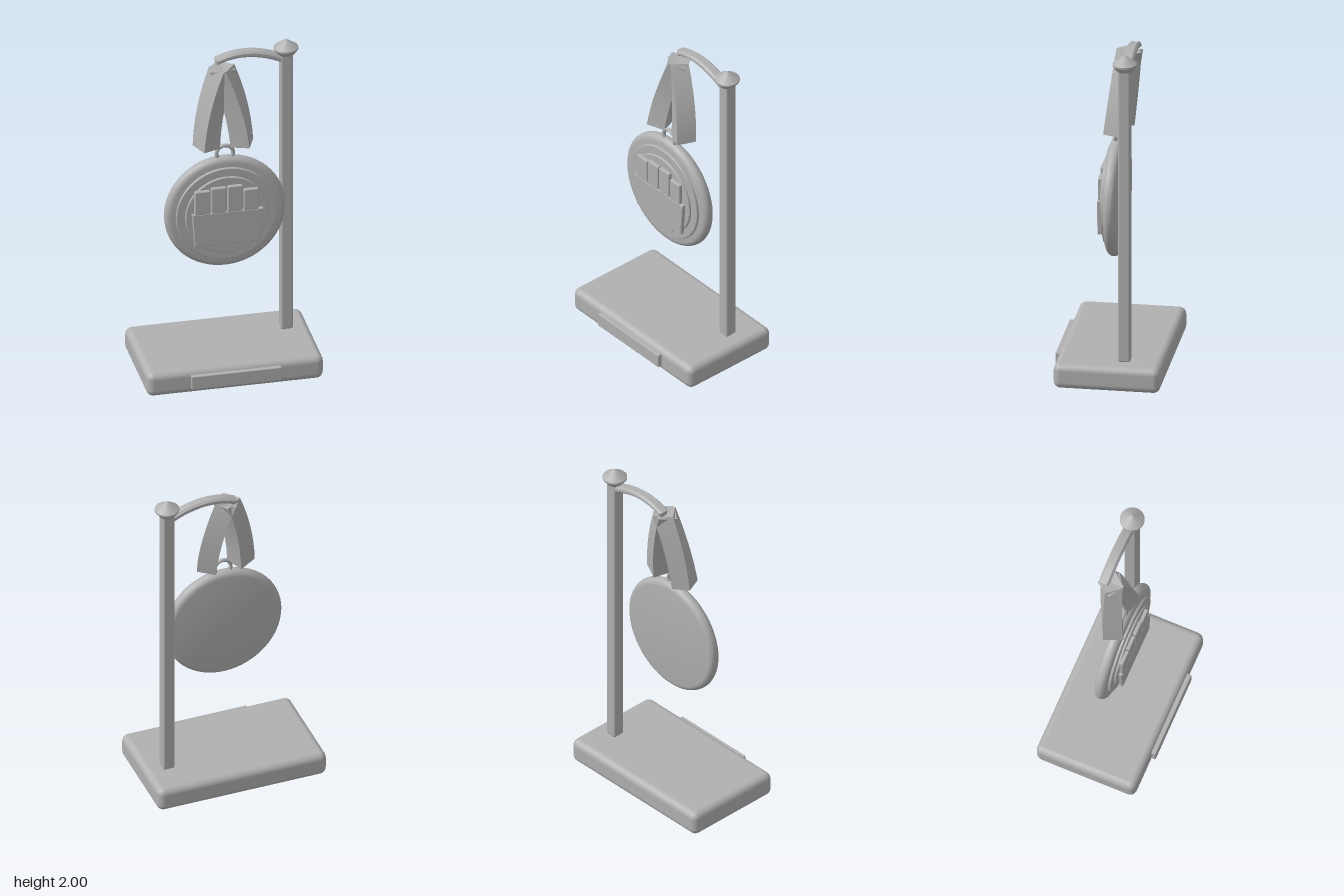
import * as THREE from 'three';
import { toCreasedNormals } from 'three/addons/utils/BufferGeometryUtils.js';
import { RoundedBoxGeometry } from 'three/addons/geometries/RoundedBoxGeometry.js';

const grey = new THREE.MeshStandardMaterial({ color: 0xb0b0b0 });
grey.name = 'plain grey';

export function createModel() {
  const model = new THREE.Group();
  model.name = 'medalStand';

  const add = (name, geometry, x = 0, y = 0, z = 0) => {
    const mesh = new THREE.Mesh(geometry, grey);
    mesh.name = name;
    mesh.position.set(x, y, z);
    model.add(mesh);
    return mesh;
  };
  // Box given by its limits, with rounded edges
  const block = (name, [x0, x1], [y0, y1], [z0, z1], r, seg = 2) =>
    add(name, new RoundedBoxGeometry(x1 - x0, y1 - y0, z1 - z0, seg, r),
      (x0 + x1) / 2, (y0 + y1) / 2, (z0 + z1) / 2);
  const lathe = (points, sides) => toCreasedNormals(
    new THREE.LatheGeometry(points.map(p => new THREE.Vector2(...p)), sides), 0.6);
  // Flat outline extruded between two depths, with small bevels
  const slab = (name, shape, z0, z1, bevel) => add(name, toCreasedNormals(
    new THREE.ExtrudeGeometry(shape, {
      depth: z1 - z0 - 2 * bevel, bevelSize: bevel, bevelThickness: bevel,
      bevelOffset: -bevel, bevelSegments: 1, curveSegments: 12,
    }), 0.5), 0, 0, z0 + bevel);

  // Base, plaque and post
  block('base', [-0.51, 0.51], [0, 0.147], [-0.318, 0.29], 0.04, 5);
  block('plaque', [-0.26, 0.26], [0.037, 0.12], [0.27, 0.314], 0.005);
  block('post', [0.342, 0.413], [0.147, 1.92], [-0.136, -0.065], 0.012, 3);

  // Pointed cap on the post
  add('postCap', lathe([[0, 1.905], [0.045, 1.905], [0.07, 1.938], [0.07, 1.948], [0, 2]], 32),
    0.378, 0, -0.1);

  // Arched arm
  const arch = new THREE.Shape();
  arch.moveTo(-0.025, 1.887);
  arch.quadraticCurveTo(0.15, 1.965, 0.36, 1.855);
  arch.lineTo(0.36, 1.898);
  arch.quadraticCurveTo(0.15, 2.003, -0.035, 1.92);
  arch.closePath();
  slab('arm', arch, -0.133, -0.07, 0.011);

  // Medal: rounded disc with two raised tiers
  const rim = [[0, -0.034]];
  for (let i = 0; i <= 10; i++) {
    const a = -Math.PI / 2 + (Math.PI * i) / 10;
    rim.push([0.315 + 0.035 * Math.cos(a), 0.001 + 0.035 * Math.sin(a)]);
  }
  rim.push([0, 0.036]);
  const tier = (r, z0, z1) => [[0, z0], [r, z0], [r, z1 - 0.004], [r - 0.004, z1], [0, z1]];
  for (const [name, profile] of [
    ['medalDisc', rim],
    ['medalLowerTier', tier(0.29, 0.03, 0.051)],
    ['medalUpperTier', tier(0.24, 0.045, 0.064)],
  ]) add(name, lathe(profile, 64), 0, 1, 0).rotation.x = Math.PI / 2;

  // Fist emblem: tapered palm and four fingers
  const palm = new THREE.Shape([[-0.19, 0.825], [0.19, 0.825], [0.205, 1.03], [-0.205, 1.03]]
    .map(p => new THREE.Vector2(...p)));
  slab('palm', palm, 0.06, 0.086, 0.004);
  [[-0.19, -0.1, 1.175], [-0.095, -0.008, 1.187], [0, 0.087, 1.19], [0.094, 0.178, 1.16]]
    .forEach(([x0, x1, top]) => block('finger', [x0, x1], [1.026, top], [0.058, 0.086], 0.007));

  // Hanging ring
  add('ring', new THREE.TorusGeometry(0.048, 0.011, 12, 40), 0, 1.367, 0.005);

  // Two thick ribbon straps, square in section, bowed outwards and crossing at the top
  const top = [[0.073, 1.888, -0.075], [0.005, 1.885, 0.006], [-0.077, 1.866, -0.048], [-0.025, 1.88, -0.142]];
  const bottom = [[0.175, 1.412, -0.042], [0.13, 1.41, 0.062], [0.03, 1.405, 0.018], [0.075, 1.392, -0.085]];
  const STEPS = 8;
  for (const side of [1, -1]) {
    const positions = [], index = [];
    for (let i = 0; i <= STEPS; i++) {
      const t = i / STEPS;
      top.forEach((p, k) => {
        const [x, y, z] = p.map((v, j) => v + (bottom[k][j] - v) * t);
        positions.push(side * (x + 0.08 * t * (1 - t)), y, z);
      });
    }
    const tri = (a, b, c) => index.push(...(side > 0 ? [a, b, c] : [a, c, b]));
    for (let i = 0; i < STEPS; i++) for (let k = 0; k < 4; k++) {
      const a = i * 4 + k, b = i * 4 + (k + 1) % 4;
      tri(a, b, b + 4);
      tri(a, b + 4, a + 4);
    }
    const e = STEPS * 4;
    tri(0, 2, 1); tri(0, 3, 2);
    tri(e, e + 1, e + 2); tri(e, e + 2, e + 3);
    const geometry = new THREE.BufferGeometry();
    geometry.setAttribute('position', new THREE.Float32BufferAttribute(positions, 3));
    geometry.setIndex(index);
    add(side > 0 ? 'leftStrap' : 'rightStrap', toCreasedNormals(geometry, 0.5));
  }

  return model;
}
